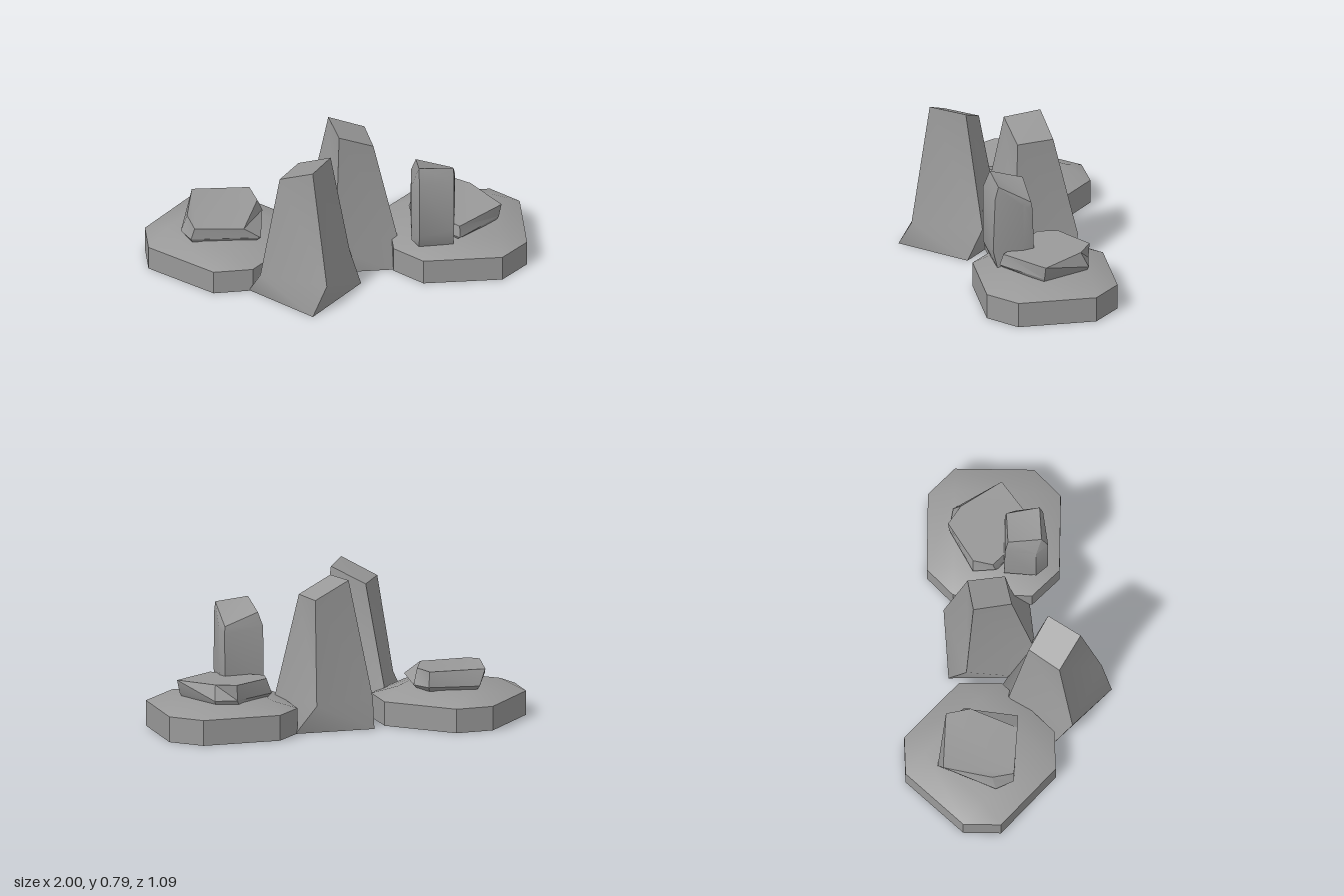
import * as THREE from 'three';
import { toCreasedNormals } from 'three/addons/utils/BufferGeometryUtils.js';

const material = new THREE.MeshStandardMaterial({ color: 0x999999, side: THREE.DoubleSide });

// Faceted stone lofted through rings of [x, y, z], each counterclockwise from above;
// edges bent by more than the crease angle (degrees) stay sharp
function loft(name, rings, closedBottom, crease) {
  const pos = [];
  const tri = (a, b, c) => {
    const [A, B, C] = [a, b, c].map((p) => new THREE.Vector3(...p));
    if (new THREE.Triangle(A, B, C).getArea() > 1e-6) pos.push(...a, ...b, ...c);
  };
  const n = rings[0].length;
  for (let r = 0; r < rings.length - 1; r++) {
    const lo = rings[r], up = rings[r + 1];
    for (let i = 0; i < n; i++) {
      const j = (i + 1) % n;
      tri(lo[i], lo[j], up[i]);
      tri(lo[j], up[j], up[i]);
    }
  }
  const top = rings[rings.length - 1], bottom = rings[0];
  for (let i = 1; i < n - 1; i++) {
    tri(top[0], top[i], top[i + 1]);
    if (closedBottom) tri(bottom[0], bottom[i + 1], bottom[i]);
  }
  const geo = new THREE.BufferGeometry();
  geo.setAttribute('position', new THREE.Float32BufferAttribute(pos, 3));
  const mesh = new THREE.Mesh(toCreasedNormals(geo, THREE.MathUtils.degToRad(crease)), material);
  mesh.name = name;
  return mesh;
}

// Ring of [x, z] points at one height
const level = (y, pts) => pts.map(([x, z]) => [x, y, z]);

// Eight-sided base with a sloping rim up to a four-cornered top, open below
function platform(name, outline, corners, rimY, topY) {
  const top = corners.flatMap((c) => [c, c]);
  return loft(name, [level(0, outline), level(rimY, outline), level(topY, top)], false, 30);
}

// Tapering, slightly twisted standing stone around its own axis
function pillar(name, x, z, turn) {
  const mesh = loft(name, [
    level(0, [[0.01, 0.305], [0.297, -0.014], [-0.005, -0.294], [-0.3, 0]]),
    level(0.15, [[0.09, 0.25], [0.245, -0.104], [-0.095, -0.239], [-0.25, 0.101]]),
    [[0.025, 0.785, 0.14], [0.137, 0.775, -0.034], [-0.025, 0.69, -0.134], [-0.14, 0.695, 0.03]],
  ], true, 52);
  mesh.position.set(x, 0, z);
  mesh.rotation.y = turn;
  return mesh;
}

export function createModel() {
  const group = new THREE.Group();
  group.name = 'rockFormation';

  // Two tall standing stones
  group.add(
    pillar('frontPillar', -0.19, 0.239, 0),
    pillar('backPillar', 0.086, -0.107, THREE.MathUtils.degToRad(-136.5)),
  );

  // Low flat platforms
  group.add(
    platform('leftPlatform',
      [[0.29, 0.115], [0.435, 0.258], [0.855, 0.258], [1, 0.115],
        [1, -0.305], [0.855, -0.445], [0.43, -0.445], [0.29, -0.305]],
      [[0.43, 0.115], [0.855, 0.115], [0.855, -0.305], [0.43, -0.305]], 0.137, 0.187),
    platform('rightPlatform',
      [[-0.68, 0.255], [-0.47, 0.245], [-0.2, -0.04], [-0.205, -0.265],
        [-0.515, -0.55], [-0.72, -0.54], [-1, -0.23], [-1, -0.03]],
      [[-0.585, 0.15], [-0.31, -0.155], [-0.62, -0.44], [-0.89, -0.13]], 0.13, 0.185),
  );

  // Slabs lying on the platforms
  group.add(
    loft('leftSlab', [
      level(0.18, [[0.63, 0.12], [0.85, -0.05], [0.74, -0.3], [0.62, -0.32], [0.42, -0.19], [0.43, -0.06]]),
      level(0.205, [[0.64, 0.15], [0.865, -0.05], [0.75, -0.31], [0.63, -0.33], [0.4, -0.2], [0.41, -0.08]]),
      [[0.64, 0.265, 0.13], [0.88, 0.275, -0.055], [0.735, 0.285, -0.27],
        [0.635, 0.29, -0.335], [0.43, 0.285, -0.2], [0.41, 0.28, -0.095]],
    ], true, 30),
    loft('rightSlab', [
      level(0.18, [[-0.77, 0.02], [-0.43, 0.03], [-0.4, -0.22], [-0.44, -0.31], [-0.69, -0.35], [-0.79, -0.06]]),
      level(0.205, [[-0.78, 0.035], [-0.41, 0.05], [-0.375, -0.235], [-0.43, -0.33], [-0.7, -0.37], [-0.825, -0.06]]),
      [[-0.76, 0.27, 0.035], [-0.5, 0.265, 0.05], [-0.405, 0.287, -0.2],
        [-0.435, 0.29, -0.33], [-0.74, 0.29, -0.34], [-0.79, 0.287, -0.08]],
    ], true, 30),
  );

  // Upright block beside the left slab
  group.add(loft('uprightBlock', [
    level(0.172, [[0.42, 0.165], [0.605, 0.155], [0.61, 0], [0.6, -0.03], [0.42, -0.03], [0.41, 0.13]]),
    [[0.42, 0.25, 0.198], [0.605, 0.27, 0.178], [0.625, 0.29, 0.02],
      [0.61, 0.27, -0.04], [0.395, 0.2, -0.035], [0.383, 0.2, 0.135]],
    [[0.42, 0.57, 0.198], [0.607, 0.57, 0.168], [0.625, 0.53, 0.02],
      [0.61, 0.5, -0.033], [0.395, 0.53, -0.03], [0.383, 0.53, 0.135]],
    [[0.42, 0.655, 0.163], [0.605, 0.64, 0.15], [0.606, 0.54, -0.026],
      [0.606, 0.54, -0.026], [0.42, 0.605, -0.015], [0.42, 0.655, 0.163]],
  ], true, 30));

  return group;
}
